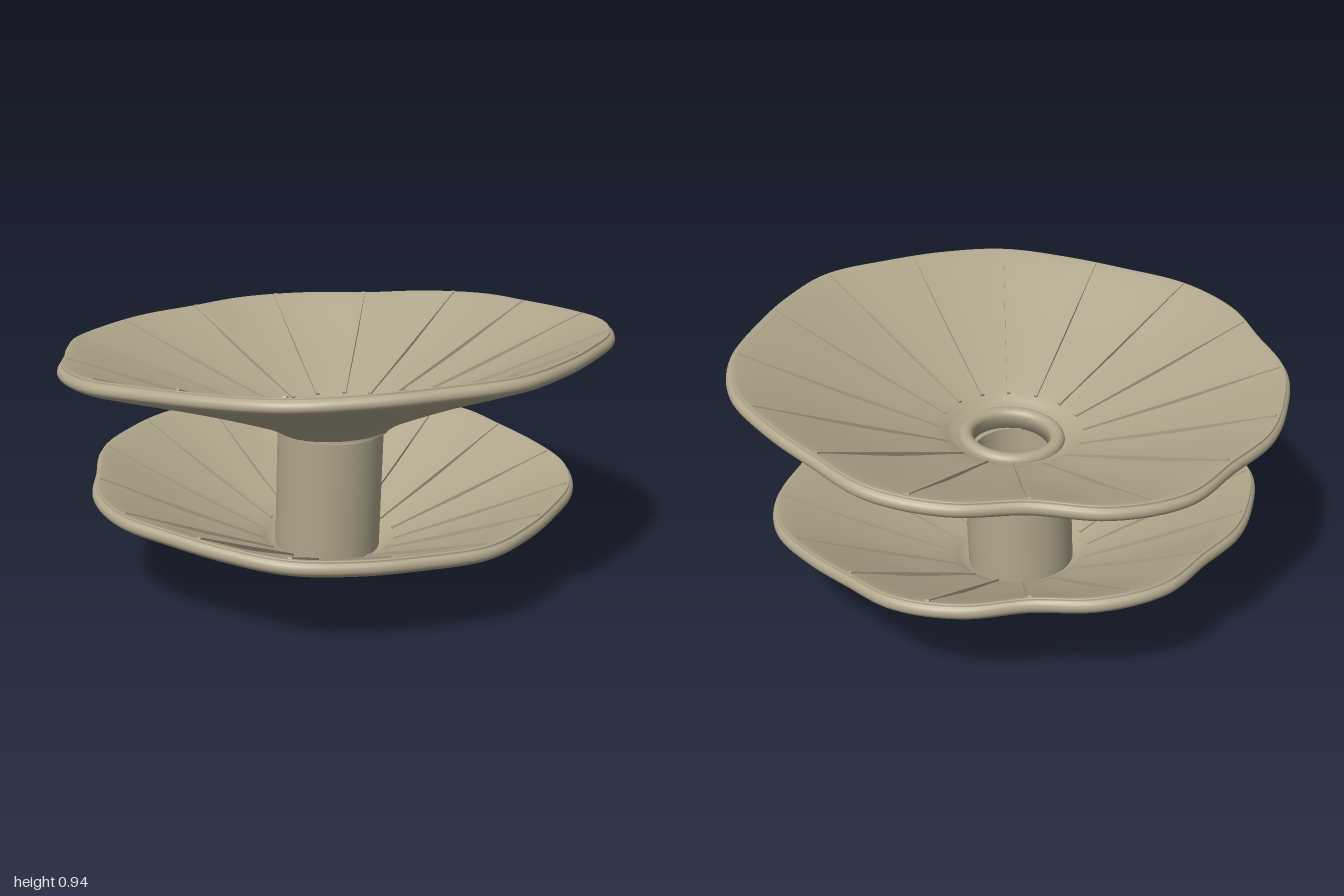
import * as THREE from 'three';
import { mergeVertices } from 'three/addons/utils/BufferGeometryUtils.js';

const material = new THREE.MeshStandardMaterial({ color: 0xb0a68c, side: THREE.DoubleSide });

// Radius of the scalloped rim every 15 degrees, counter-clockwise from +x seen from above
const LOBES = [1.005, 0.98, 0.975, 1.005, 1.01, 0.975, 0.965, 1.005, 0.99, 0.935, 0.995, 1.01,
  0.957, 0.968, 0.965, 0.978, 0.96, 1.0, 1.005, 0.965, 0.97, 1.0, 0.985, 0.978];

function rimRadius(angle) {
  const n = LOBES.length;
  const f = ((angle / (2 * Math.PI)) % 1 + 1) % 1 * n;
  const i = Math.floor(f), t = f - i;
  const [a, b, c, d] = [-1, 0, 1, 2].map(k => LOBES[(i + k + n) % n]);
  return b + 0.5 * t * (c - a + t * (2 * a - 5 * b + 4 * c - d + t * (3 * (b - c) + d - a)));
}

// The scallops fade out towards the hub
const warp = (r, angle) => r * (1 + (rimRadius(angle) - 1) * Math.max(0, (r - 0.2) / 0.8));

const points = list => list.map(p => new THREE.Vector2(...p));

function add(parent, geometry, name) {
  const mesh = new THREE.Mesh(geometry, material);
  mesh.name = name;
  parent.add(mesh);
  return mesh;
}

// Cone-shaped shell: underside outwards, round the lip, top side back inwards
function dishGeometry() {
  const profile = new THREE.SplineCurve(points([
    [0.18, -0.005], [0.2, 0.0], [0.3, 0.052], [0.6, 0.163], [0.92, 0.268], [0.985, 0.293], [1, 0.315],
    [0.985, 0.336], [0.94, 0.334], [0.6, 0.195], [0.3, 0.084], [0.22, 0.045], [0.17, 0.03],
  ])).getPoints(72);
  const geo = new THREE.LatheGeometry(profile, 192);
  const pos = geo.attributes.position;
  for (let i = 0; i < pos.count; i++) {
    const x = pos.getX(i), z = pos.getZ(i);
    const r = Math.hypot(x, z), angle = Math.atan2(-z, x), w = warp(r, angle);
    pos.setX(i, w * Math.cos(angle));
    pos.setZ(i, -w * Math.sin(angle));
  }
  geo.deleteAttribute('uv');
  geo.deleteAttribute('normal');
  const merged = mergeVertices(geo, 1e-5);
  merged.computeVertexNormals();
  return merged;
}

// Scalloped dish with sixteen thin radial ribs on its upper side
function makeDish(name, outerRadius) {
  const dish = new THREE.Group();
  dish.name = name;
  const scaleR = r => 0.2 + (r - 0.2) * (outerRadius - 0.2) / 0.8;

  const geo = dishGeometry();
  const pos = geo.attributes.position;
  for (let i = 0; i < pos.count; i++) {
    const r = Math.hypot(pos.getX(i), pos.getZ(i));
    const k = scaleR(r) / r;
    pos.setXYZ(i, pos.getX(i) * k, pos.getY(i), pos.getZ(i) * k);
  }
  geo.computeVertexNormals();
  add(dish, geo, 'dishShell');

  for (let i = 0; i < 16; i++) {
    const angle = i * Math.PI / 8;
    const at = (r, y) => {
      const w = scaleR(warp(r, angle));
      return new THREE.Vector3(w * Math.cos(angle), y, -w * Math.sin(angle));
    };
    const start = at(0.26, 0.069), end = at(0.97, 0.343);
    const rib = add(dish, new THREE.BoxGeometry(0.013, 0.014, start.distanceTo(end)), 'rib');
    rib.position.copy(start).add(end).multiplyScalar(0.5);
    rib.lookAt(end);
  }
  return dish;
}

export function createModel() {
  const model = new THREE.Group();
  model.name = 'doubleDish';

  // Lower dish and hollow column, leaning slightly to the left
  const lower = new THREE.Group();
  lower.name = 'lowerAssembly';
  lower.position.set(-0.055, 0.01, -0.005);
  lower.rotation.z = -0.05;
  model.add(lower);
  const lowerDish = makeDish('lowerDish', 0.89);
  lowerDish.position.y = 0.025;
  lower.add(lowerDish);
  add(lower, new THREE.LatheGeometry(points([
    [0.15, 0.52], [0.15, 0.02], [0.153, 0.006], [0.162, 0], [0.183, 0], [0.192, 0.005],
    [0.195, 0.014], [0.195, 0.1], [0.195, 0.515], [0.19, 0.52], [0.15, 0.52],
  ]), 96), 'column');

  // Upper dish with a rounded hub ring, leaning the other way
  const upper = new THREE.Group();
  upper.name = 'upperAssembly';
  upper.position.set(-0.005, 0.527, -0.008);
  upper.rotation.z = 0.068;
  model.add(upper);
  upper.add(makeDish('upperDish', 1));
  const ring = [[0.14, -0.01]];
  ring.unshift([0.195, -0.01]);
  for (let i = 0; i <= 12; i++) {
    const a = i / 12 * Math.PI;
    ring.splice(ring.length - 1, 0, [0.1675 + 0.0275 * Math.cos(a), 0.035 + 0.026 * Math.sin(a)]);
  }
  ring.push([0.195, -0.01]);
  add(upper, new THREE.LatheGeometry(points(ring), 96), 'hubRing');

  return model;
}
